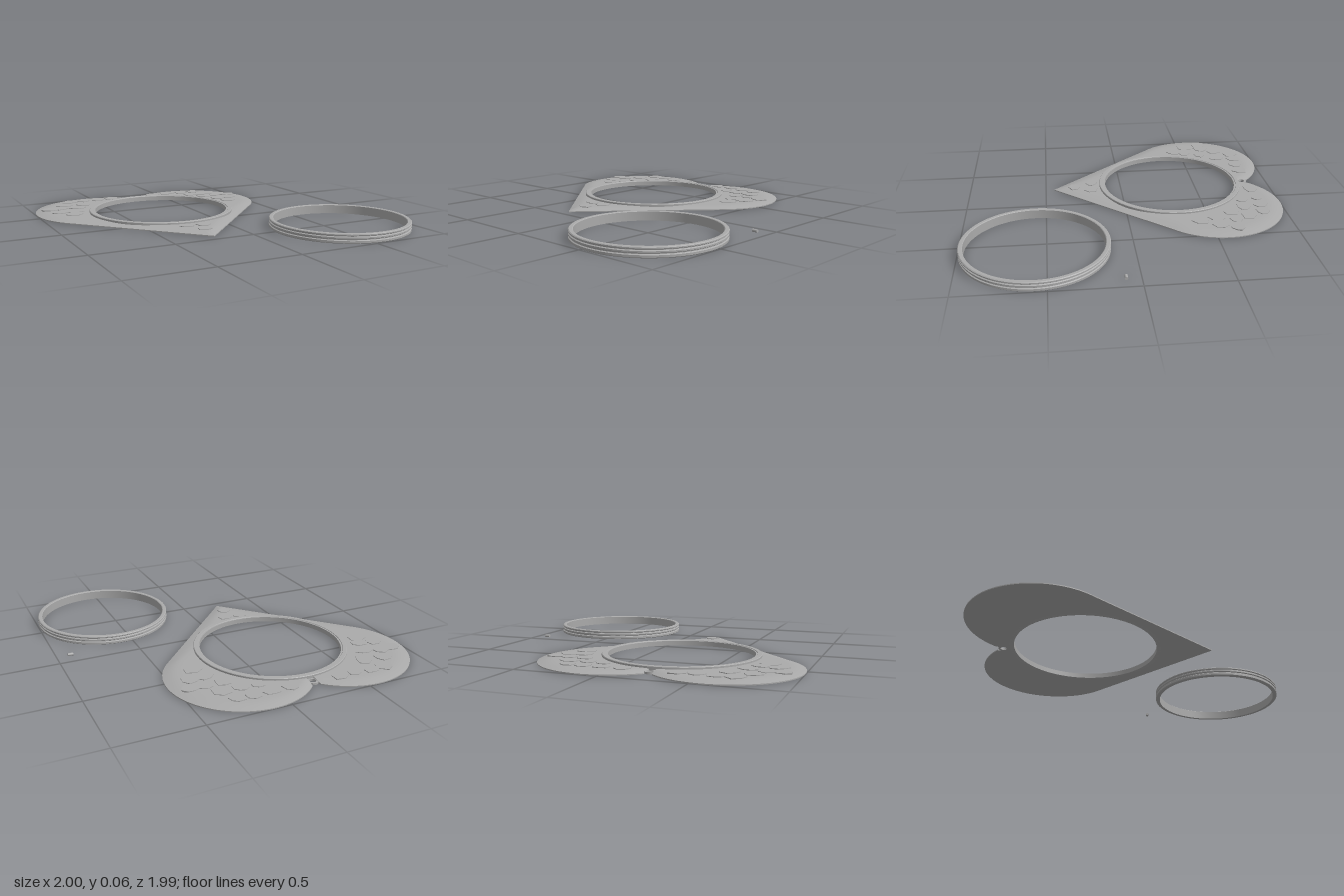
import * as THREE from 'three';
import { toCreasedNormals } from 'three/addons/utils/BufferGeometryUtils.js';

const HOLE = { dist: 0.5, r: 0.02 }; // hanging hole, behind the plate centre

// Distance from the window centre to the heart outline; angle 0 points to the cleft (-z)
function heartRadius(angle) {
  const u = Math.abs(Math.sin(angle)), v = Math.cos(angle);
  if (Math.atan2(u, v) > Math.atan2(0.6556, -0.0585)) return 0.523 / (u * 0.7379 - v * 0.6749);
  const along = u * 0.335 + v * 0.235;
  return along + Math.sqrt(along * along - (0.335 ** 2 + 0.235 ** 2) + 0.435 ** 2);
}

// Outline with the hanging hole cut out of the cleft
function plateRadius(angle) {
  const off = HOLE.dist * Math.sin(angle);
  if (Math.cos(angle) > 0 && Math.abs(off) < HOLE.r) {
    return HOLE.dist * Math.cos(angle) - Math.sqrt(HOLE.r ** 2 - off * off);
  }
  return heartRadius(angle);
}

// Heart plate: flat underneath, softly domed towards the edge
function heartGeometry() {
  const N = 512, steps = 12, pos = [], idx = [];
  const rows = steps + 3;
  for (let i = 0; i <= N; i++) {
    const a = (i / N) * Math.PI * 2, R = plateRadius(a);
    const put = (r, y) => pos.push(Math.sin(a) * r, y, -Math.cos(a) * r);
    put(0.445, 0);
    put(R, 0);
    for (let j = 0; j <= steps; j++) {
      const d = (R - 0.455) * (j / steps) ** 1.6;
      put(R - d, 0.006 + 0.014 * Math.sin(Math.min(d / 0.1, 1) * Math.PI / 2));
    }
  }
  for (let i = 0; i < N; i++) {
    for (let j = 0; j < rows - 1; j++) {
      const a = i * rows + j, d = a + rows;
      idx.push(a, a + 1, d, a + 1, d + 1, d);
    }
  }
  const g = new THREE.BufferGeometry();
  g.setAttribute('position', new THREE.Float32BufferAttribute(pos, 3));
  g.setIndex(idx);
  return toCreasedNormals(g, 0.5);
}

// Closed ring turned from a profile of [radius, height]
function turned(profile) {
  const pts = [...profile, profile[0]].map(([r, y]) => new THREE.Vector2(r, y));
  return toCreasedNormals(new THREE.LatheGeometry(pts, 128), 0.5);
}

// Flat slab extruded upwards from a shape
function slab(shape, height) {
  return new THREE.ExtrudeGeometry(shape, { depth: height, bevelEnabled: false, curveSegments: 24 })
    .rotateX(-Math.PI / 2);
}

function seeded(seed) {
  return () => (seed = (seed * 16807) % 2147483647) / 2147483647;
}

export function createModel() {
  const model = new THREE.Group();
  const grey = new THREE.MeshStandardMaterial({ color: 0xaaaaaa });
  grey.name = 'grey';
  const add = (parent, name, geometry, x = 0, y = 0, z = 0) => {
    const mesh = new THREE.Mesh(geometry, grey);
    mesh.name = name;
    mesh.position.set(x, y, z);
    parent.add(mesh);
    return mesh;
  };

  // Heart frame
  const frame = new THREE.Group();
  frame.name = 'heartFrame';
  frame.position.set(-0.23, 0, -0.33);
  model.add(frame);
  add(frame, 'heartPlate', heartGeometry());
  add(frame, 'windowRim', turned([
    [0.435, 0], [0.46, 0], [0.472, 0.004], [0.472, 0.03], [0.469, 0.033],
    [0.447, 0.033], [0.445, 0.03], [0.435, 0.03],
  ]));

  // Eyelet in the cleft
  const eyelet = new THREE.Shape().absarc(0, 0, 0.033, 0, Math.PI * 2);
  eyelet.holes.push(new THREE.Path().absarc(0, 0, HOLE.r, 0, Math.PI * 2, true));
  add(frame, 'eyelet', slab(eyelet, 0.012), 0, 0, -HOLE.dist);

  // Low irregular stones over the plate
  const rnd = seeded(77);
  const stones = new THREE.Group();
  stones.name = 'stoneRelief';
  frame.add(stones);
  const cell = 0.105;
  for (let row = -7; row <= 8; row++) {
    for (let col = -8; col <= 8; col++) {
      const x = (col + (row % 2) * 0.5 + (rnd() - 0.5) * 0.3) * cell;
      const z = (row + (rnd() - 0.5) * 0.3) * cell;
      const size = cell * (0.4 + rnd() * 0.16);
      const sides = 6 + Math.floor(rnd() * 3), turn = rnd() * 6;
      const pts = [];
      for (let k = 0; k < sides; k++) {
        const a = turn + (k / sides) * Math.PI * 2, r = size * (0.75 + rnd() * 0.35);
        pts.push(new THREE.Vector2(Math.cos(a) * r * 1.15, Math.sin(a) * r));
      }
      const fits = pts.every((p) => {
        const px = x + p.x, pz = z - p.y, d = Math.hypot(px, pz);
        return d > 0.485 && d < heartRadius(Math.atan2(px, -pz)) - 0.035
          && Math.hypot(px, pz + HOLE.dist) > 0.05;
      });
      if (fits) add(stones, 'stone', slab(new THREE.Shape(pts), 0.014), x, 0.01, z);
    }
  }

  // Separate grooved ring
  add(model, 'retainingRing', turned([
    [0.402, 0], [0.424, 0], [0.429, 0.004], [0.429, 0.016], [0.423, 0.02], [0.423, 0.024],
    [0.429, 0.028], [0.429, 0.036], [0.423, 0.04], [0.423, 0.043], [0.429, 0.047],
    [0.429, 0.053], [0.424, 0.057], [0.406, 0.057], [0.402, 0.054],
  ]), 0.567, 0, 0.565);

  // Small loose pin
  add(model, 'pin', new THREE.CylinderGeometry(0.009, 0.009, 0.032, 20).rotateZ(Math.PI / 2),
    0.916, 0.009, 0.084);

  return model;
}
